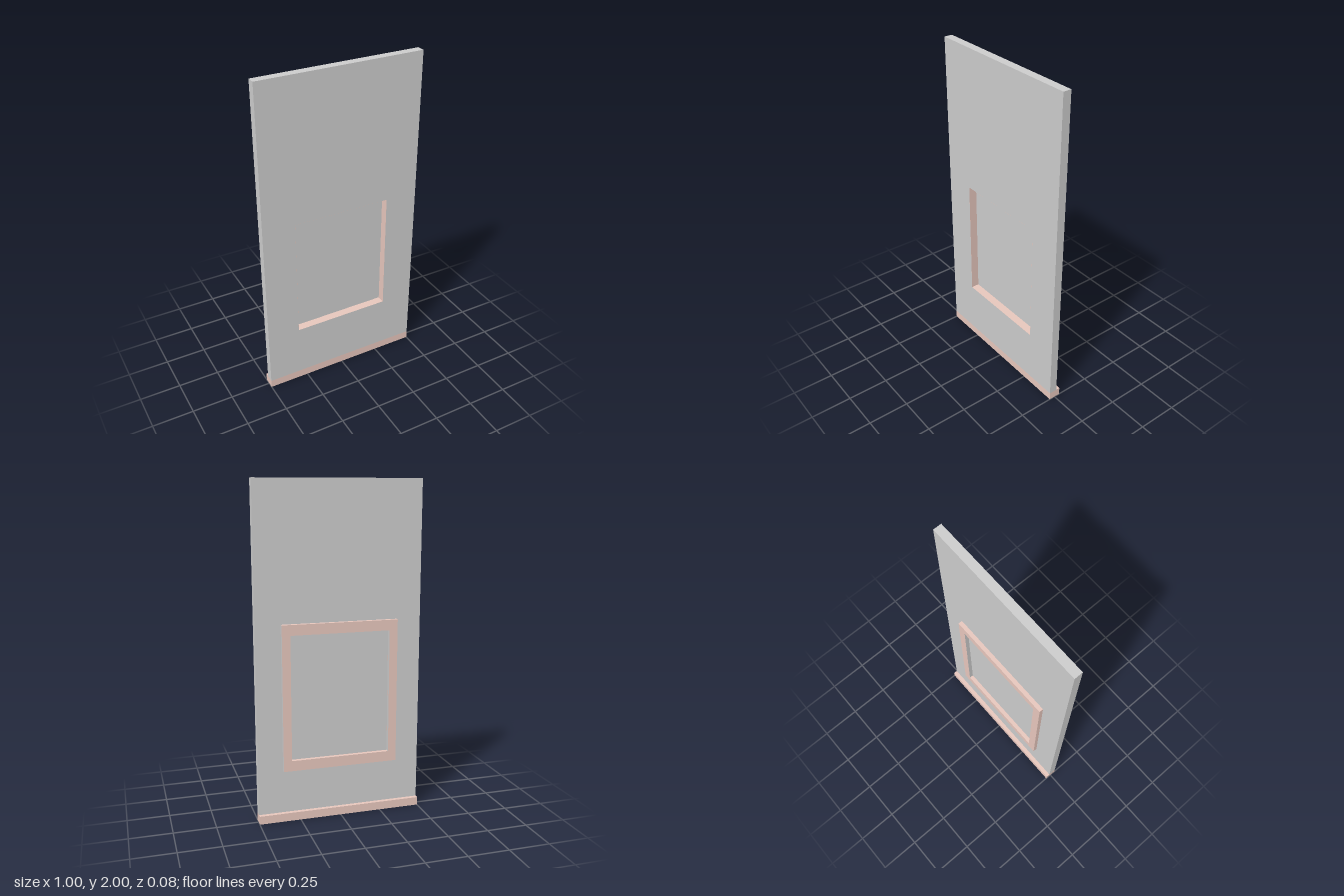
import * as THREE from 'three';

export function createModel() {
  const model = new THREE.Group();
  const grey = new THREE.MeshStandardMaterial({ color: 0xcccccc });
  const pink = new THREE.MeshStandardMaterial({ color: 0xe6c6bc });

  const front = 0.0375, wallBack = -0.0125, back = -0.0375;
  const base = 0.05;
  const hole = { x: 0.3, y0: 0.375, y1: 1.125 };
  const outer = { x: 0.35, y0: 0.3125, y1: 1.1875 };

  // box from its two extreme corners
  function box(name, x0, x1, y0, y1, z0, z1, material) {
    const mesh = new THREE.Mesh(new THREE.BoxGeometry(x1 - x0, y1 - y0, z1 - z0), material);
    mesh.position.set((x0 + x1) / 2, (y0 + y1) / 2, (z0 + z1) / 2);
    mesh.name = name;
    model.add(mesh);
  }

  // rectangle traced counter-clockwise
  function rect(Type, x, y0, y1) {
    const r = new Type();
    r.moveTo(-x, y0).lineTo(x, y0).lineTo(x, y1).lineTo(-x, y1).closePath();
    return r;
  }

  // wall panel with its window opening
  const shape = rect(THREE.Shape, 0.5, base, 2);
  shape.holes.push(rect(THREE.Path, hole.x, hole.y0, hole.y1));
  const wall = new THREE.Mesh(
    new THREE.ExtrudeGeometry(shape, { depth: front - wallBack, bevelEnabled: false }), grey);
  wall.position.z = wallBack;
  wall.name = 'wallPanel';
  model.add(wall);

  // coloured lining of the opening, just proud of the cut faces
  const e = 0.0005;
  const w = hole.x;
  box('liningBottom', -w, w, hole.y0, hole.y0 + e, wallBack, front, pink);
  box('liningTop', -w, w, hole.y1 - e, hole.y1, wallBack, front, pink);
  box('liningLeft', w - e, w, hole.y0, hole.y1, wallBack, front, pink);
  box('liningRight', -w, -w + e, hole.y0, hole.y1, wallBack, front, pink);

  // window pane, flush with the back of the wall
  const pane = new THREE.Mesh(
    new THREE.PlaneGeometry(2 * w, hole.y1 - hole.y0),
    new THREE.MeshStandardMaterial({ color: 0xcccccc, side: THREE.DoubleSide }));
  pane.position.set(0, (hole.y0 + hole.y1) / 2, wallBack);
  pane.name = 'windowPane';
  model.add(pane);

  // raised window frame on the back; some jamb sides are left grey
  box('frameBottomRail', -outer.x, outer.x, outer.y0, hole.y0, back, wallBack,
    [grey, pink, pink, pink, pink, pink]);
  box('frameTopRail', -outer.x, outer.x, hole.y1, outer.y1, back, wallBack,
    [grey, pink, pink, pink, pink, pink]);
  box('frameLeftJamb', w, outer.x, hole.y0, hole.y1, back, wallBack,
    [grey, grey, pink, pink, pink, pink]);
  box('frameRightJamb', -outer.x, -w, hole.y0, hole.y1, back, wallBack,
    [grey, pink, pink, pink, pink, pink]);

  // base sill, full depth
  box('baseSill', -0.5, 0.5, 0, base, back, front, pink);

  return model;
}
